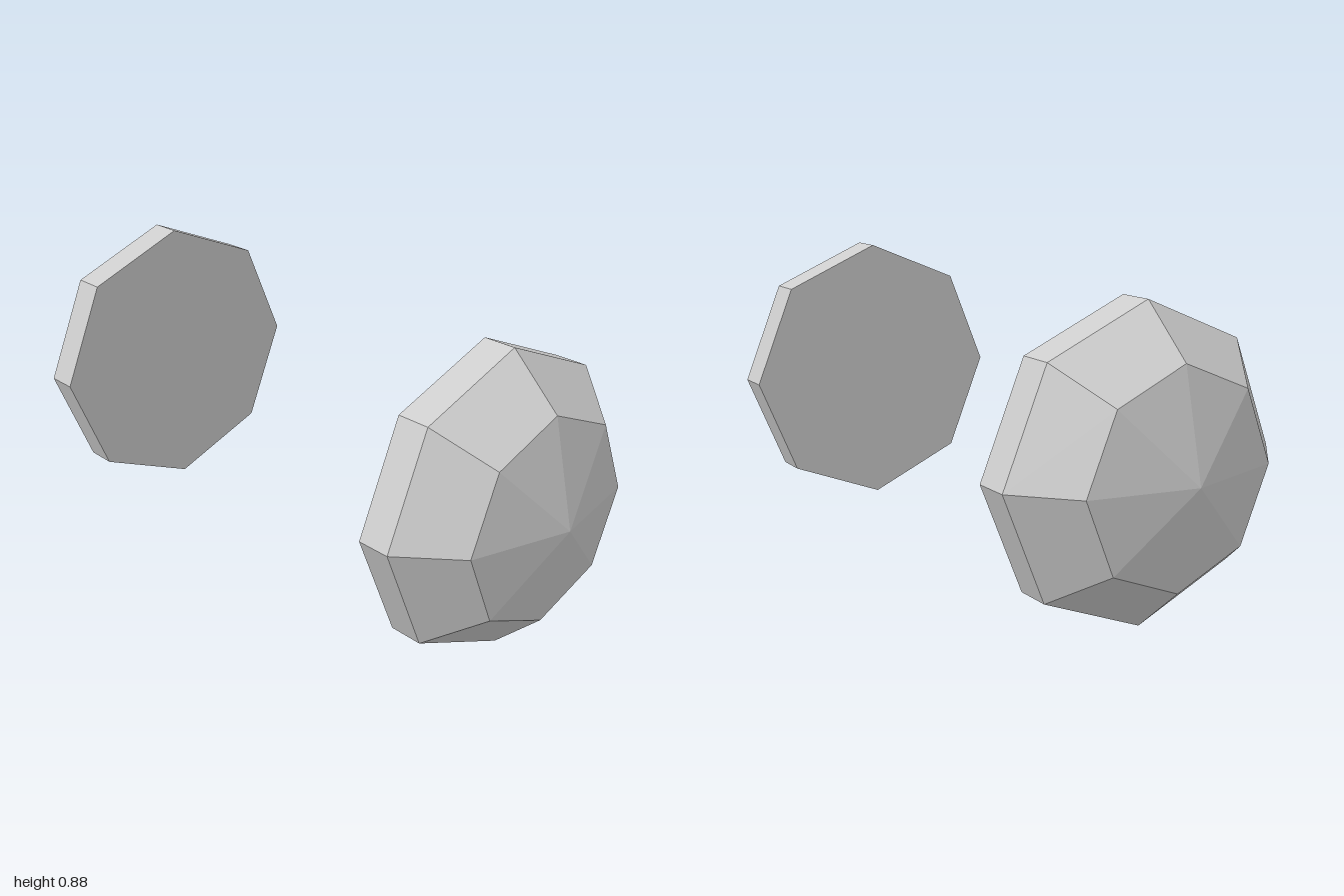
import * as THREE from 'three';

export function createModel() {
  const group = new THREE.Group();
  const lightGrey = new THREE.MeshStandardMaterial({ color: 0xcccccc, flatShading: true });
  lightGrey.name = 'lightGrey';

  // Faceted dome profile: flat back, short rim, bevel, shallow point
  const profile = [[0, 0.68], [0.44, 0.68], [0.44, 0.78], [0.3, 0.93], [0, 1]]
    .map(([r, h]) => new THREE.Vector2(r, h));
  const dome = new THREE.LatheGeometry(profile, 8).rotateX(Math.PI / 2);

  // One dome facing forwards, its twin facing backwards
  for (const [name, turn] of [['frontDome', 0], ['backDome', Math.PI]]) {
    const mesh = new THREE.Mesh(dome, lightGrey);
    mesh.name = name;
    mesh.position.y = 0.44;
    mesh.rotation.y = turn;
    group.add(mesh);
  }
  return group;
}
